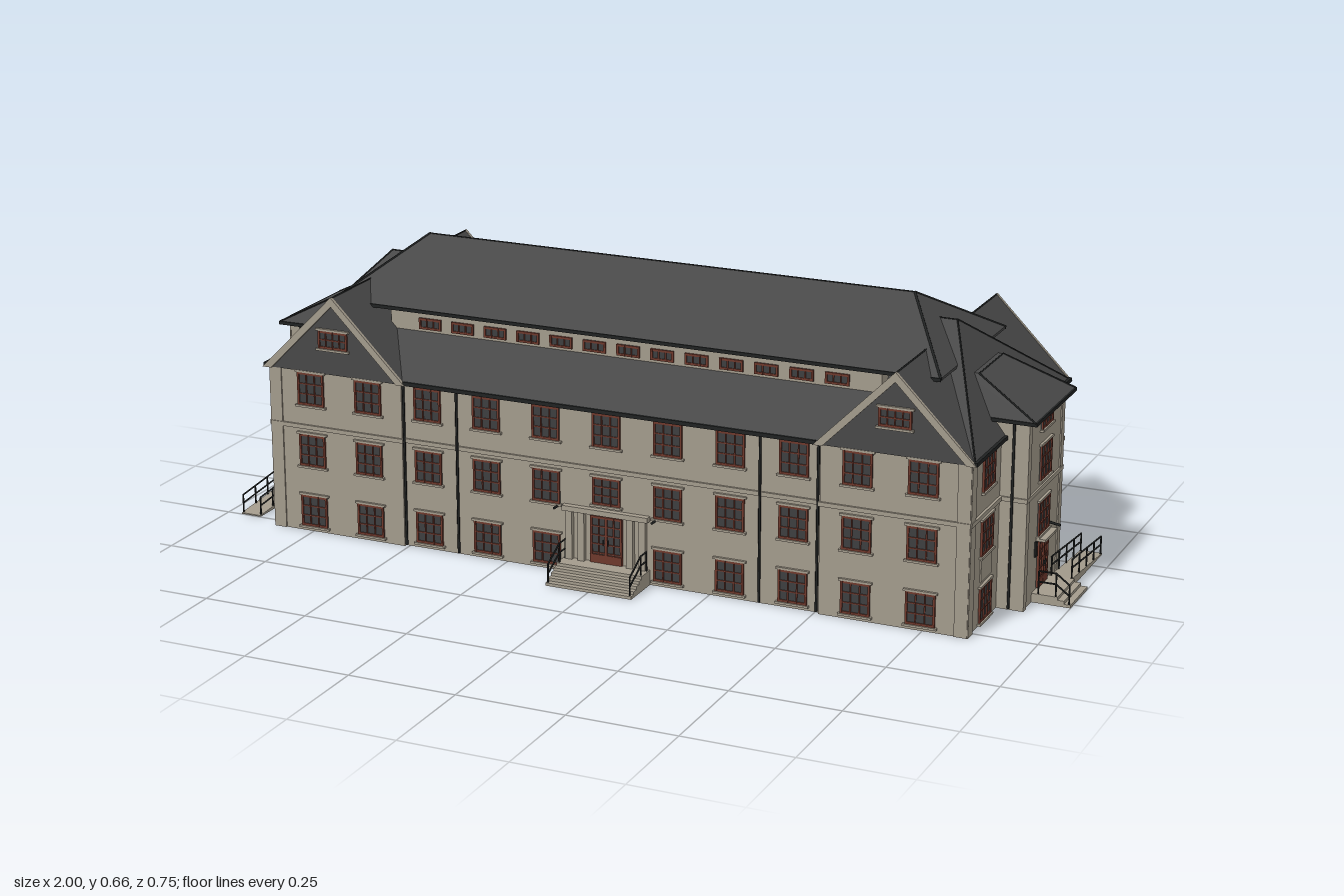
import * as THREE from 'three';
import { mergeGeometries } from 'three/addons/utils/BufferGeometryUtils.js';
import { ConvexGeometry } from 'three/addons/geometries/ConvexGeometry.js';

const colour = (name, color) => {
  const m = new THREE.MeshStandardMaterial({ color });
  m.name = name;
  return m;
};

export function createModel() {
  const render = colour('stone render', 0xa39b8c);
  const slate = colour('slate', 0x484848);
  const iron = colour('black iron', 0x202222);
  const timber = colour('red brown timber', 0x6e382c);
  const glass = colour('dark glass', 0x3d3f40);

  const mesh = (parent, name, mat, geo) => {
    const m = new THREE.Mesh(geo, mat);
    m.name = name;
    parent.add(m);
    return m;
  };
  const boxGeo = (x0, x1, y0, y1, z0, z1) =>
    new THREE.BoxGeometry(x1 - x0, y1 - y0, z1 - z0).translate((x0 + x1) / 2, (y0 + y1) / 2, (z0 + z1) / 2);
  const box = (parent, name, mat, ...b) => mesh(parent, name, mat, boxGeo(...b));
  const hull = (parent, name, mat, pts) =>
    mesh(parent, name, mat, new ConvexGeometry(pts.map((p) => new THREE.Vector3(...p))));
  const group = (parent, name) => {
    const g = new THREE.Group();
    g.name = name;
    parent.add(g);
    return g;
  };
  // Thin round bar between two points
  const bar = (parent, name, mat, a, b, r = 0.002) => {
    const p = new THREE.Vector3(...a), q = new THREE.Vector3(...b);
    const d = q.clone().sub(p);
    const m = mesh(parent, name, mat, new THREE.CylinderGeometry(r, r, d.length(), 6));
    m.position.copy(p).add(q).multiplyScalar(0.5);
    m.quaternion.setFromUnitVectors(new THREE.Vector3(0, 1, 0), d.normalize());
  };

  // Window facing +z, origin at the middle of its bottom edge
  const windowAt = (parent, x, y, z, w, h, cols = 3, rows = 3, turn = 0, sill = true) => {
    const g = group(parent, 'window');
    g.position.set(x, y, z);
    g.rotation.y = turn;
    const t = 0.005, bars = [];
    for (let i = 0; i <= cols; i++) {
      const r = i % cols ? 0.0013 : t / 2, c = (i / cols - 0.5) * (w - t);
      bars.push(boxGeo(c - r, c + r, 0, h, 0, 0.005));
    }
    for (let i = 0; i <= rows; i++) {
      const r = i % rows ? 0.0013 : t / 2, c = t / 2 + (i / rows) * (h - t);
      bars.push(boxGeo(-w / 2, w / 2, c - r, c + r, 0, 0.0045));
    }
    mesh(g, 'windowFrame', timber, mergeGeometries(bars));
    box(g, 'windowPane', glass, -w / 2, w / 2, 0, h, -0.002, 0.002);
    if (sill) {
      box(g, 'windowSill', render, -w / 2 - 0.005, w / 2 + 0.005, -0.005, 0, 0, 0.008);
      box(g, 'windowLintel', render, -w / 2 - 0.005, w / 2 + 0.005, h, h + 0.005, 0, 0.006);
    }
  };
  const door = (parent, x, y, z, w, h, turn = 0) => {
    const g = group(parent, 'door');
    g.position.set(x, y, z);
    g.rotation.y = turn;
    windowAt(g, 0, 0, 0, w, h, 4, 5, 0, false);
    box(g, 'doorMeetingStile', timber, -0.003, 0.003, 0, h, 0, 0.006);
    box(g, 'doorKickPanel', timber, -w / 2, w / 2, 0, h * 0.18, 0, 0.0055);
    for (const s of [-1, 1]) box(g, 'doorHandle', iron, s * 0.006 - 0.001, s * 0.006 + 0.001, h * 0.4, h * 0.52, 0.006, 0.009);
  };

  const model = new THREE.Group();
  model.name = 'building';
  const house = group(model, 'house');
  house.position.z = -0.04;

  // Main walls
  box(house, 'centreWalls', render, -0.85, 0.85, 0, 0.392, -0.312, 0.312);
  for (const s of [-1, 1]) box(house, 'wingWalls', render, s * 0.68 - 0.17, s * 0.68 + 0.17, 0, 0.392, -0.32, 0.32);

  // Lower hipped roof and raised upper roof
  const lower = [], upper = [];
  for (const x of [-1, 1]) {
    for (const z of [-1, 1]) {
      lower.push([x * 0.86, 0.39, z * 0.325], [x * 0.86, 0.396, z * 0.325]);
      upper.push([x * 0.74, 0.53, z * 0.215], [x * 0.74, 0.536, z * 0.215]);
      bar(house, 'hipTrim', iron, [x * 0.86, 0.396, z * 0.325], [x * 0.7, 0.605, 0]);
      bar(house, 'upperRoofEdge', iron, [x * 0.74, 0.535, z * 0.215], [x * 0.6, 0.655, 0], 0.003);
    }
    lower.push([x * 0.7, 0.605, 0]);
    upper.push([x * 0.6, 0.656, 0]);
  }
  hull(house, 'lowerRoof', slate, lower);
  hull(house, 'upperRoof', slate, upper);
  bar(house, 'ridgeTrim', iron, [-0.6, 0.655, 0], [0.6, 0.655, 0]);
  bar(house, 'lowerRidgeTrim', iron, [-0.7, 0.604, 0], [0.7, 0.604, 0]);
  box(house, 'clerestoryWalls', render, -0.6, 0.6, 0.44, 0.532, -0.195, 0.195);

  // Long side, facing +z
  const rows = [[0.013, 0.075], [0.16, 0.077], [0.308, 0.078]];
  const longSide = (parent, hasDoor) => {
    for (let i = -5; i <= 5; i++) {
      const x = i * 0.149, z = Math.abs(x) > 0.5 ? 0.32 : 0.312;
      rows.forEach(([y, h], r) => {
        if (!(hasDoor && i === 0 && r === 0)) windowAt(parent, x, hasDoor && i === 0 && r === 1 ? 0.172 : y, z, 0.068, hasDoor && i === 0 && r === 1 ? 0.065 : h);
      });
    }
    for (let i = -6; i <= 6; i++) windowAt(parent, i * 0.083, 0.486, 0.195, 0.056, 0.026, 3, 1, 0, false);
    box(parent, 'stringCourse', render, -0.51, 0.51, 0.25, 0.26, 0.31, 0.317);
    box(parent, 'gutter', iron, -0.5, 0.5, 0.39, 0.399, 0.322, 0.329);
    box(parent, 'upperGutter', iron, -0.74, 0.74, 0.529, 0.537, 0.213, 0.218);
    for (const s of [-1, 1]) {
      box(parent, 'wingStringCourse', render, s * 0.68 - 0.173, s * 0.68 + 0.173, 0.25, 0.26, 0.318, 0.325);
      box(parent, 'cornerPilaster', render, s * 0.837 - 0.015, s * 0.837 + 0.015, 0, 0.39, 0.3, 0.323);
      for (const x of [0.37, 0.505]) bar(parent, 'downpipe', iron, [s * x, 0.005, 0.319], [s * x, 0.392, 0.319], 0.003);
      // Cross gable with barge boards
      const c = s * 0.68, gable = [];
      for (const z of [0.03, 0.325]) gable.push([c - 0.182, 0.391, z], [c + 0.182, 0.391, z], [c, 0.575, z]);
      hull(parent, 'gableRoof', slate, gable);
      bar(parent, 'gableRidge', iron, [c, 0.574, 0.05], [c, 0.574, 0.325]);
      const v = [[-0.185, 0.39], [-0.163, 0.39], [0, 0.554], [0.163, 0.39], [0.185, 0.39], [0, 0.576]];
      const shape = new THREE.Shape(v.map((p) => new THREE.Vector2(...p)));
      const barge = mesh(parent, 'bargeBoard', render, new THREE.ExtrudeGeometry(shape, { depth: 0.008, bevelEnabled: false }));
      barge.position.set(c, 0, 0.324);
      windowAt(parent, c, 0.452, 0.325, 0.075, 0.042, 4, 2);
    }
  };
  longSide(group(house, 'frontSide'), true);
  const back = group(house, 'backSide');
  longSide(back, false);
  back.rotation.y = Math.PI;

  // Front entrance: pilasters, lintel, door and steps
  const entry = group(house, 'frontEntrance');
  door(entry, 0, 0.035, 0.313, 0.078, 0.11);
  for (const s of [-1, 1]) {
    for (const x of [0.06, 0.09]) box(entry, 'entrancePilaster', render, s * x - 0.008, s * x + 0.008, 0, 0.15, 0.31, 0.323);
    bar(entry, 'entranceLamp', iron, [s * 0.12, 0.155, 0.31], [s * 0.12, 0.155, 0.335], 0.003);
    const rail = [[0.32, 0.08], [0.35, 0.08], [0.408, 0.05]];
    for (const drop of [0, 0.022])
      for (let i = 0; i < 2; i++)
        bar(entry, 'stepRail', iron, [s * 0.1, rail[i][1] - drop, rail[i][0]], [s * 0.1, rail[i + 1][1] - drop, rail[i + 1][0]]);
    for (const [z, y] of rail) bar(entry, 'stepRailPost', iron, [s * 0.1, 0, z], [s * 0.1, y, z]);
  }
  box(entry, 'entranceLintel', render, -0.105, 0.105, 0.15, 0.162, 0.31, 0.327);
  for (let i = 0; i < 5; i++) box(entry, 'frontStep', render, -0.105, 0.105, i * 0.007, (i + 1) * 0.007, 0.3, 0.412 - i * 0.014);

  // Short side, facing +x, with stair tower
  const shortSide = (parent) => {
    const q = Math.PI / 2;
    box(parent, 'stairTower', render, 0.7, 0.91, 0, 0.432, -0.125, 0.125);
    box(parent, 'towerStringCourse', render, 0.85, 0.914, 0.25, 0.26, -0.129, 0.129);
    box(parent, 'endStringCourse', render, 0.85, 0.856, 0.25, 0.26, -0.322, 0.322);
    for (const s of [-1, 1]) {
      const z = s * 0.208;
      for (const [y, h] of [[0.007, 0.08], [0.16, 0.08], [0.306, 0.08]]) windowAt(parent, 0.85, y, z, 0.075, h, 3, 3, q);
      box(parent, 'wallPanel', render, 0.85, 0.853, 0.1, 0.15, z - 0.035, z + 0.035);
      box(parent, 'endPilaster', render, 0.85, 0.854, 0, 0.39, s * 0.306 - 0.015, s * 0.306 + 0.015);
      box(parent, 'towerPilaster', render, 0.91, 0.913, 0, 0.43, s * 0.116 - 0.01, s * 0.116 + 0.01);
      box(parent, 'endGutter', iron, 0.858, 0.865, 0.39, 0.399, s * 0.228 - 0.1, s * 0.228 + 0.1);
      bar(parent, 'towerDownpipe', iron, [0.88, 0.005, s * 0.131], [0.88, 0.43, s * 0.131], 0.003);
      bar(parent, 'towerHipTrim', iron, [0.93, 0.439, s * 0.14], [0.78, 0.515, s * 0.08]);
      box(parent, 'towerSideGutter', iron, 0.83, 0.932, 0.431, 0.439, s * 0.139 - 0.002, s * 0.139 + 0.002);
    }
    // Tower roof running back into the hip
    const roof = [];
    for (const s of [-1, 1])
      roof.push([0.93, 0.432, s * 0.14], [0.93, 0.438, s * 0.14], [0.74, 0.432, s * 0.14], [0.78, 0.515, s * 0.08], [0.74, 0.515, s * 0.08]);
    hull(parent, 'towerRoof', slate, roof);
    box(parent, 'towerGutter', iron, 0.928, 0.933, 0.431, 0.439, -0.141, 0.141);
    bar(parent, 'towerRoofTopTrim', iron, [0.78, 0.514, -0.08], [0.78, 0.514, 0.08]);
    for (const [y, h, n] of [[0.146, 0.078, 3], [0.274, 0.08, 3], [0.392, 0.034, 2]]) windowAt(parent, 0.91, y, 0, 0.075, h, 3, n, q);
    // Side door, canopy and notice board
    door(parent, 0.911, 0.024, 0, 0.066, 0.11, q);
    box(parent, 'doorCanopy', render, 0.905, 0.932, 0.136, 0.142, -0.043, 0.043);
    box(parent, 'noticeBoard', iron, 0.91, 0.914, 0.102, 0.137, 0.042, 0.053);
    bar(parent, 'sideLamp', iron, [0.91, 0.148, -0.055], [0.935, 0.144, -0.055], 0.003);
    // Side steps and ramp
    for (let i = 0; i < 3; i++) box(parent, 'sideStep', render, 0.9, 1 - i * 0.015, i * 0.007, (i + 1) * 0.007, -0.062, 0.062);
    const ramp = [];
    for (const x of [0.914, 0.965]) ramp.push([x, 0, -0.06], [x, 0.021, -0.06], [x, 0, -0.288], [x, 0.003, -0.288]);
    hull(parent, 'ramp', render, ramp);
    for (const x of [0.916, 0.963]) {
      for (const y of [0.066, 0.046]) bar(parent, 'rampRail', iron, [x, y, -0.062], [x, y - 0.02, -0.282]);
      for (let i = 0; i < 5; i++) bar(parent, 'rampPost', iron, [x, 0, -0.062 - i * 0.055], [x, 0.066 - i * 0.005, -0.062 - i * 0.055]);
    }
    const rail = [[0.925, 0.075], [0.965, 0.075], [0.996, 0.052]];
    for (const drop of [0, 0.025])
      for (let i = 0; i < 2; i++)
        bar(parent, 'sideRail', iron, [rail[i][0], rail[i][1] - drop, 0.06], [rail[i + 1][0], rail[i + 1][1] - drop, 0.06]);
    for (const [x, y] of rail) bar(parent, 'sideRailPost', iron, [x, 0, 0.06], [x, y, 0.06]);
  };
  shortSide(group(house, 'leftEnd'));
  const right = group(house, 'rightEnd');
  shortSide(right);
  right.rotation.y = Math.PI;

  return model;
}
